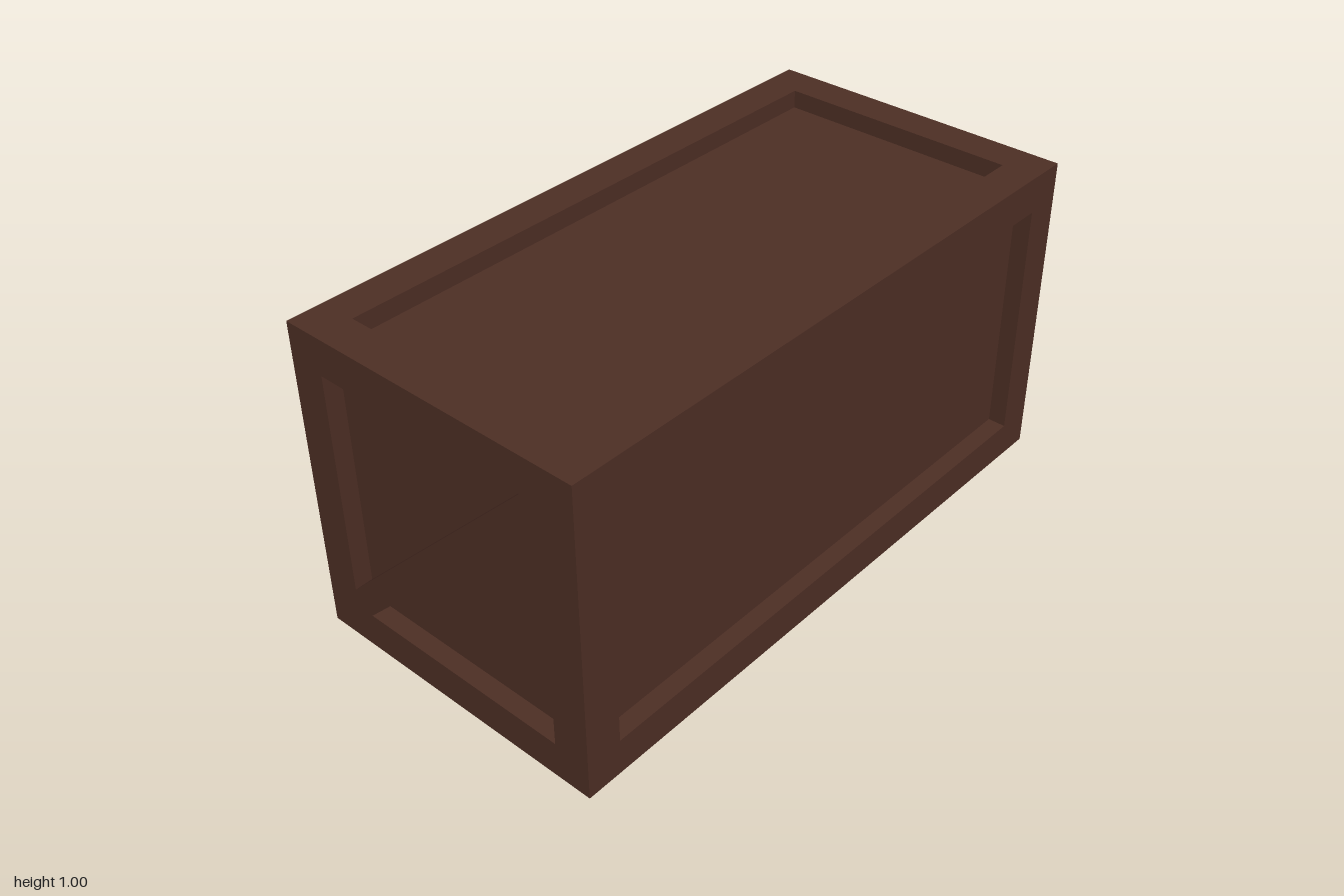
import * as THREE from 'three';
import { mergeGeometries } from 'three/addons/utils/BufferGeometryUtils.js';

const BORDER = 0.115; // width of the frame boards
const DEPTH = 0.057;  // how far the panels are set back

function rectangle(path, w, h) {
  path.moveTo(-w / 2, -h / 2);
  path.lineTo(w / 2, -h / 2);
  path.lineTo(w / 2, h / 2);
  path.lineTo(-w / 2, h / 2);
  path.closePath();
  return path;
}

// Frame face with its four inner edges, facing +z with its front at z = 0
function frameGeometry(w, h) {
  const iw = w - 2 * BORDER, ih = h - 2 * BORDER;
  const ring = rectangle(new THREE.Shape(), w, h);
  ring.holes.push(rectangle(new THREE.Path(), iw, ih));
  const parts = [new THREE.ShapeGeometry(ring)];
  for (const s of [-1, 1]) {
    parts.push(
      new THREE.PlaneGeometry(DEPTH, ih).rotateY(-s * Math.PI / 2).translate(s * iw / 2, 0, -DEPTH / 2),
      new THREE.PlaneGeometry(iw, DEPTH).rotateX(s * Math.PI / 2).translate(0, s * ih / 2, -DEPTH / 2)
    );
  }
  return mergeGeometries(parts);
}

// Diagonal board with its ends cut to fit the corners of the frame
function braceGeometry(mirror) {
  const a = 0.5 - BORDER, c = a - 0.06;
  const points = [[-a, a], [-a, c], [c, -a], [a, -a], [a, -c], [-c, a]];
  const shape = new THREE.Shape(points.map(([x, y]) => new THREE.Vector2(x * mirror, y)));
  return new THREE.ExtrudeGeometry(shape, { depth: DEPTH, bevelEnabled: false }).translate(0, 0, -DEPTH);
}

export function createModel() {
  const crate = new THREE.Group();
  crate.name = 'crate';
  const wood = new THREE.MeshStandardMaterial({ color: 0x4e2f25 });
  wood.name = 'dark wood';

  const add = (parent, name, geometry) => {
    const mesh = new THREE.Mesh(geometry, wood);
    mesh.name = name;
    parent.add(mesh);
    return mesh;
  };

  // Each side: name, width, distance from the centre, turn about x and y, brace direction
  const q = Math.PI / 2;
  const sides = [
    ['front', 2, 0.5, 0, 0, 0],
    ['back', 2, 0.5, 0, 2 * q, 0],
    ['top', 2, 0.5, -q, 0, 0],
    ['bottom', 2, 0.5, q, 0, 0],
    ['left', 1, 1, 0, q, 1],
    ['right', 1, 1, 0, -q, -1]
  ];
  for (const [name, width, distance, rx, ry, brace] of sides) {
    const side = new THREE.Group();
    side.name = name + 'Side';
    side.rotation.set(rx, ry, 0);
    side.position.set(0, 0, distance).applyEuler(side.rotation);
    side.position.y += 0.5;
    add(side, name + 'Frame', frameGeometry(width, 1));
    const panel = new THREE.PlaneGeometry(width - 2 * BORDER, 1 - 2 * BORDER);
    add(side, name + 'Panel', panel).position.z = -DEPTH;
    if (brace) add(side, name + 'Brace', braceGeometry(brace));
    crate.add(side);
  }
  return crate;
}
